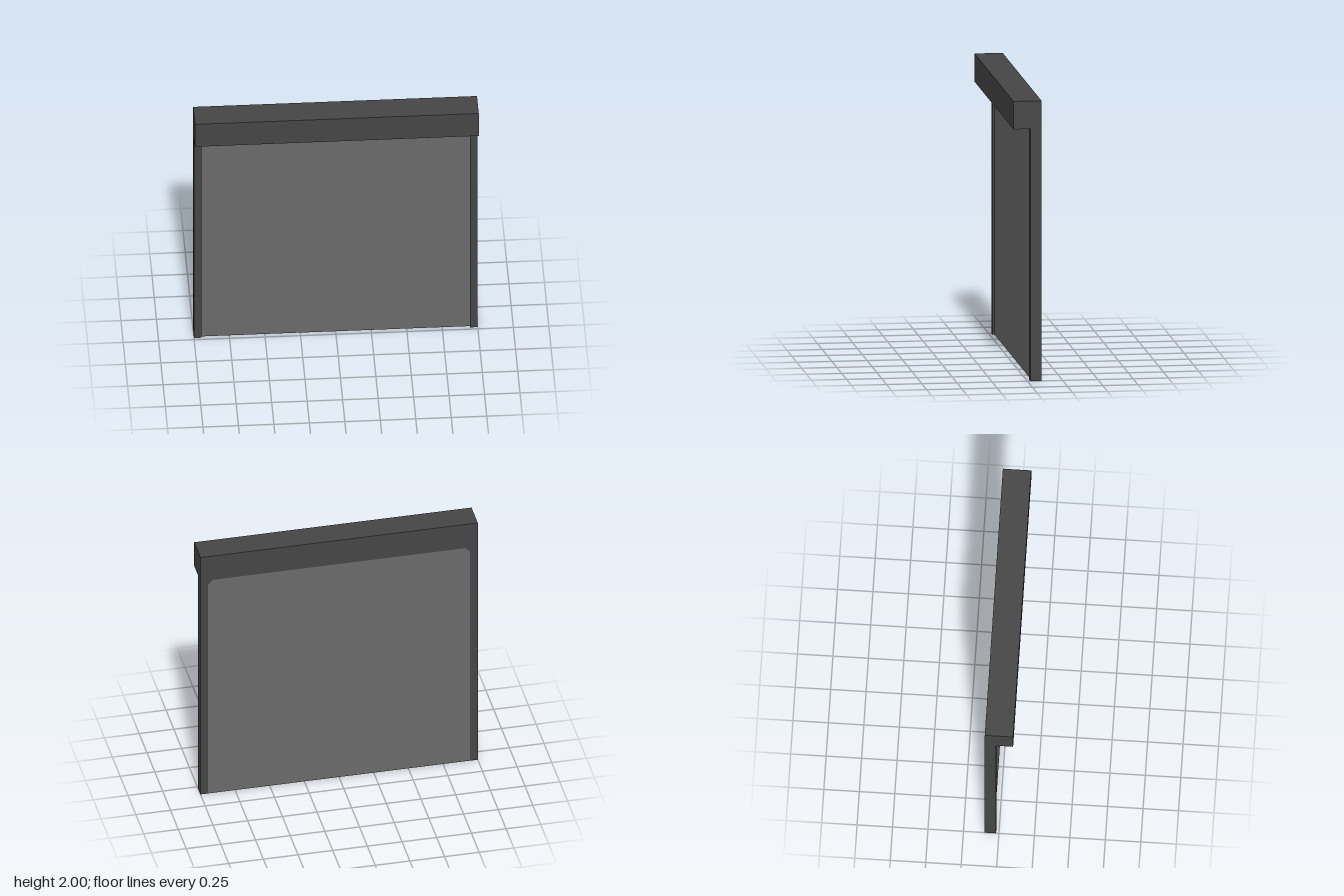
import * as THREE from 'three';

export function createModel() {
  const group = new THREE.Group();
  const frame = new THREE.MeshStandardMaterial({ name: 'darkGreyFrame', color: 0x454545 });
  const curtain = new THREE.MeshStandardMaterial({ name: 'midGreyCurtain', color: 0x6a6a6a });

  // box given by its minimum and maximum corners
  function box(name, material, min, max) {
    const size = max.map((v, i) => v - min[i]);
    const mesh = new THREE.Mesh(new THREE.BoxGeometry(...size), material);
    mesh.position.set(...max.map((v, i) => (v + min[i]) / 2));
    mesh.name = name;
    group.add(mesh);
  }

  // roller housing across the top
  box('rollerHousing', frame, [-1, 1.8, -0.1], [1, 2, 0.1]);

  // shutter curtain, flush at the back and slightly recessed at the front
  box('shutterCurtain', curtain, [-0.945, 0, -0.099], [0.945, 1.8, -0.035]);

  // guide rails at both sides
  box('leftGuideRail', frame, [0.945, 0, -0.1], [1, 1.8, -0.02]);
  box('rightGuideRail', frame, [-1, 0, -0.1], [-0.945, 1.8, -0.02]);

  // small corner gussets on the back, under the housing
  for (const side of [1, -1]) {
    const shape = new THREE.Shape([
      new THREE.Vector2(side * 0.945, 1.8),
      new THREE.Vector2(side * 0.91, 1.8),
      new THREE.Vector2(side * 0.945, 1.765),
    ]);
    const gusset = new THREE.Mesh(
      new THREE.ExtrudeGeometry(shape, { depth: 0.004, bevelEnabled: false }), frame);
    gusset.position.z = -0.1;
    gusset.name = side > 0 ? 'leftGusset' : 'rightGusset';
    group.add(gusset);
  }
  return group;
}
